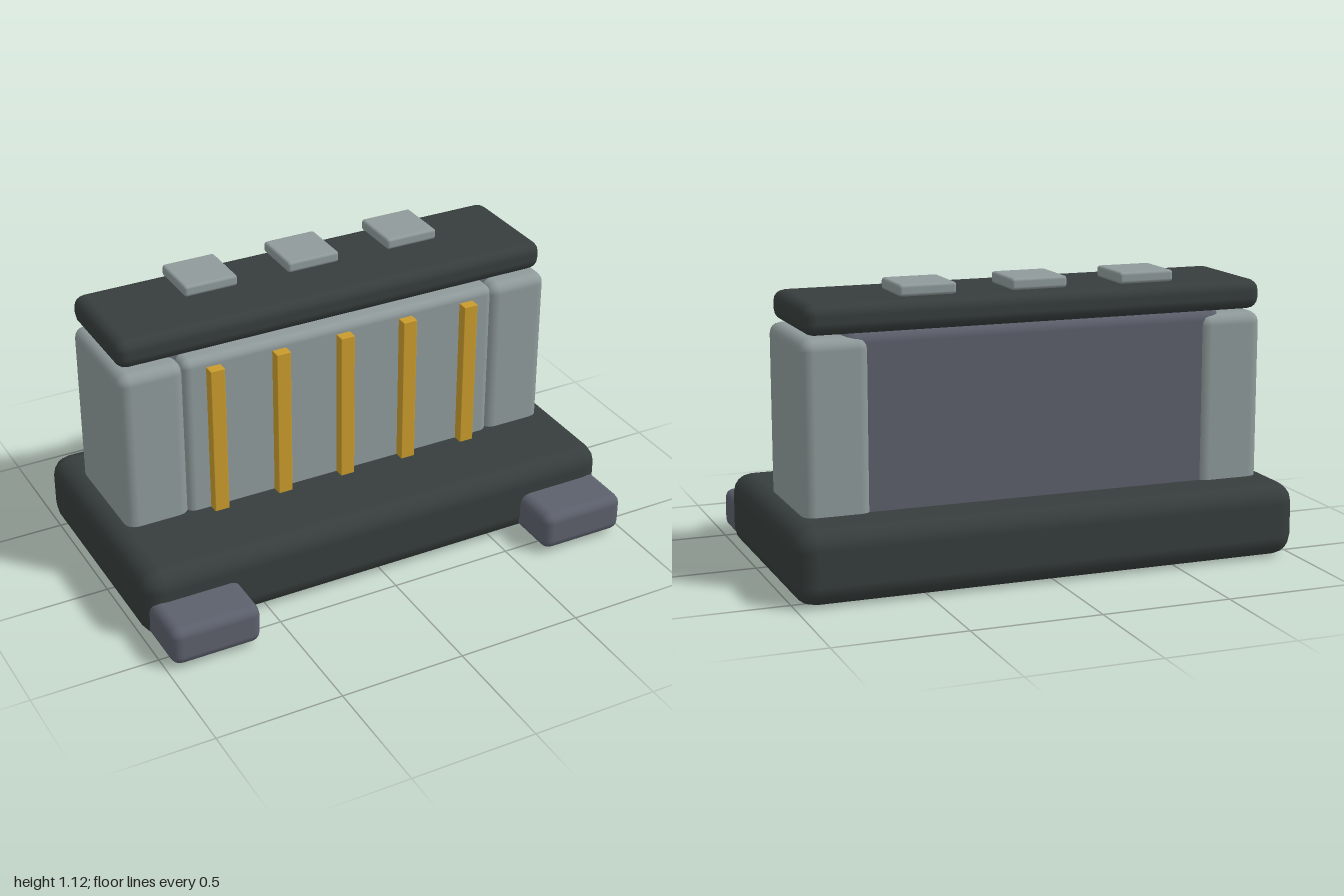
import * as THREE from 'three';
import { RoundedBoxGeometry } from 'three/addons/geometries/RoundedBoxGeometry.js';

const paint = (name, color) => {
  const material = new THREE.MeshStandardMaterial({ color });
  material.name = name;
  return material;
};

export function createModel() {
  const model = new THREE.Group();
  model.name = 'barrier';

  const charcoal = paint('charcoal', 0x363d3c);
  const lightGrey = paint('light grey', 0x8f9a9a);
  const slate = paint('slate', 0x5c606c);
  const gold = paint('gold', 0xc99b2c);

  // Box given by its [min, max] range on each axis, with bevelled edges if radius > 0
  const box = (name, material, [x0, x1], [y0, y1], [z0, z1], radius = 0) => {
    const size = [x1 - x0, y1 - y0, z1 - z0];
    const geometry = radius
      ? new RoundedBoxGeometry(...size, 2, radius)
      : new THREE.BoxGeometry(...size);
    const mesh = new THREE.Mesh(geometry, material);
    mesh.name = name;
    mesh.position.set((x0 + x1) / 2, (y0 + y1) / 2, (z0 + z1) / 2);
    model.add(mesh);
  };

  // Heavy plinth
  box('base', charcoal, [-1, 1], [0, 0.29], [-0.6, 0.41], 0.08);

  // Wall: dark core showing at the back, light panel in front
  box('core', slate, [-0.76, 0.76], [0.15, 0.965], [-0.405, -0.01], 0.05);
  box('frontPanel', lightGrey, [-0.67, 0.67], [0.15, 0.945], [-0.1, 0.062], 0.035);

  // End posts and front feet, mirrored
  for (const [side, s] of [['left', 1], ['right', -1]]) {
    const span = (a, b) => (s > 0 ? [a, b] : [-b, -a]);
    box(side + 'Post', lightGrey, span(0.66, 0.92), [0.15, 0.942], [-0.42, 0.062], 0.045);
    box(side + 'Foot', slate, span(0.62, 0.98), [0.015, 0.175], [0.24, 0.6], 0.04);
  }

  // Gold ribs on the front panel
  for (let i = -2; i <= 2; i++) {
    const x = i * 0.273;
    box('rib', gold, [x - 0.03, x + 0.03], [0.2, 0.905], [0.04, 0.102], 0.004);
  }

  // Cap with three pads hovering above it
  box('cap', charcoal, [-0.91, 0.91], [0.952, 1.068], [-0.43, 0.035], 0.045);
  for (const x of [-0.435, 0, 0.435]) {
    box('pad', lightGrey, [x - 0.11, x + 0.11], [1.075, 1.12], [-0.4, -0.18], 0.012);
  }

  return model;
}
